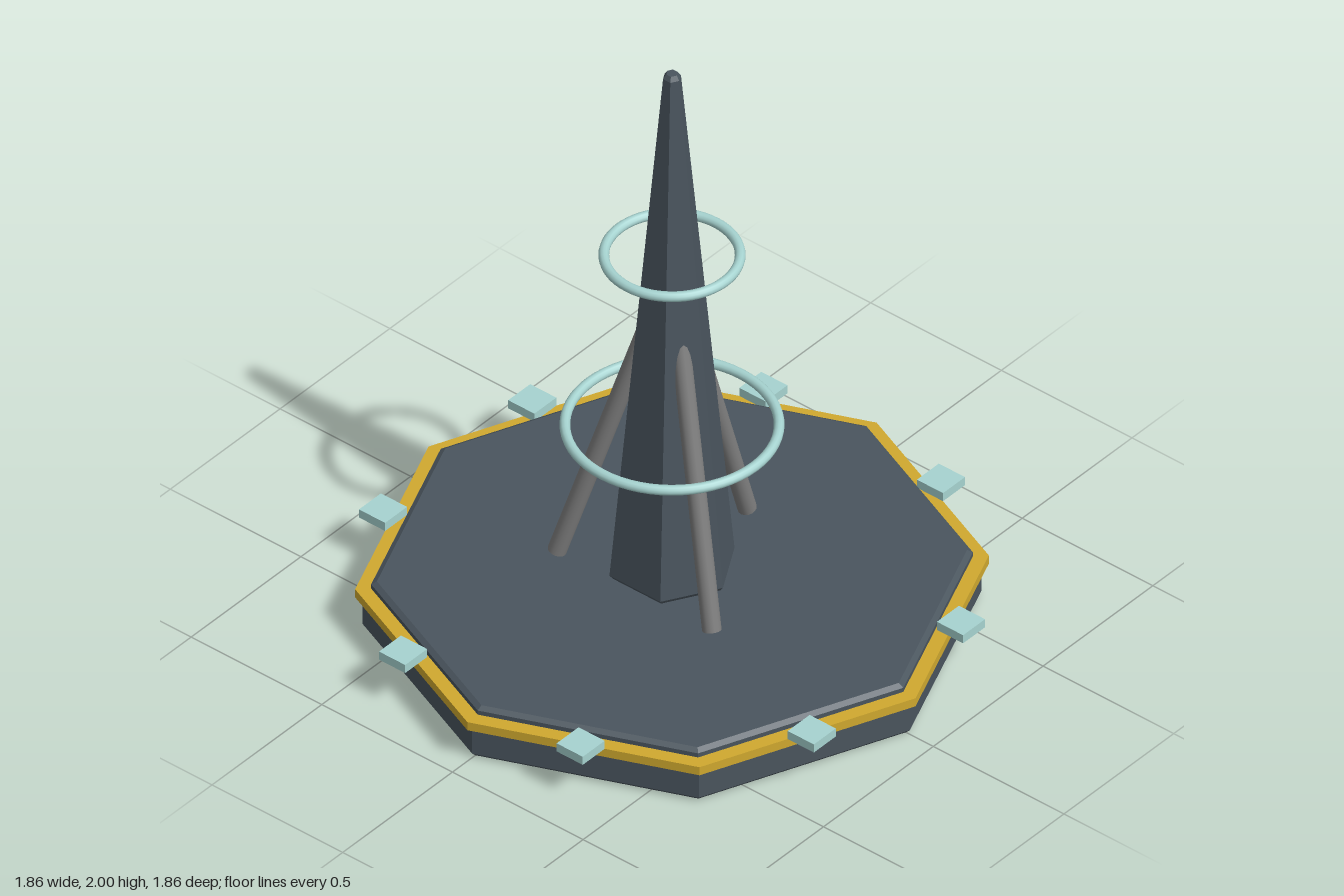
import * as THREE from 'three';

const mat = (name, color) => {
  const m = new THREE.MeshStandardMaterial({ color });
  m.name = name;
  return m;
};

// Faceted solid of revolution; profile runs from bottom to top, first corner on +z
function faceted(profile, sides) {
  const points = profile.map(([r, y]) => new THREE.Vector2(r, y));
  const geometry = new THREE.LatheGeometry(points, sides).toNonIndexed();
  geometry.computeVertexNormals();
  return geometry;
}

export function createModel() {
  const slate = mat('slate', 0x4a555e);
  const gold = mat('gold', 0xd0a92f);
  const aqua = mat('paleAqua', 0xa6d3d0);
  const grey = mat('steelGrey', 0x7d7d7d);

  const model = new THREE.Group();
  model.name = 'spireOnPlatform';
  const add = (name, geometry, material) => {
    const mesh = new THREE.Mesh(geometry, material);
    mesh.name = name;
    model.add(mesh);
    return mesh;
  };

  // Octagonal platform with chamfered edges
  add('platform', faceted([
    [0, 0], [0.895, 0], [0.91, 0.015], [0.91, 0.125],
    [0.885, 0.13], [0.885, 0.16], [0.868, 0.17], [0, 0.17],
  ], 8), slate);

  // Gold band around the platform
  add('platformTrim', faceted([
    [0.87, 0.115], [0.932, 0.115], [0.932, 0.145], [0.87, 0.145], [0.87, 0.115],
  ], 8), gold);

  // Hexagonal tapering spire
  add('spire', faceted([
    [0, 0.165], [0.18, 0.165], [0.195, 0.185],
    [0.028, 1.985], [0.018, 2], [0, 2],
  ], 6), slate);

  // Three round struts leaning into the spire
  const foot = new THREE.Vector3(0.342, 0.182, 0);
  const head = new THREE.Vector3(0.07, 1.055, 0);
  const strutGeometry = new THREE.CylinderGeometry(0.029, 0.029, foot.distanceTo(head), 16);
  for (let i = 0; i < 3; i++) {
    const turn = new THREE.Group();
    turn.name = 'strut' + (i + 1);
    turn.rotation.y = i * Math.PI * 2 / 3;
    const strut = add('strutRod', strutGeometry, grey);
    strut.position.copy(foot).lerp(head, 0.5);
    strut.quaternion.setFromUnitVectors(
      new THREE.Vector3(0, 1, 0), head.clone().sub(foot).normalize());
    turn.add(strut);
    model.add(turn);
  }

  // Floating rings
  for (const [name, radius, y] of [['lowerRing', 0.314, 0.695], ['upperRing', 0.2, 1.325]]) {
    const ring = add(name, new THREE.TorusGeometry(radius, 0.016, 12, 64), aqua);
    ring.rotation.x = Math.PI / 2;
    ring.position.y = y;
  }

  // Square pads over the middle of each platform edge
  const padGeometry = new THREE.BoxGeometry(0.1, 0.03, 0.1);
  for (let i = 0; i < 8; i++) {
    const a = (i + 0.5) * Math.PI / 4;
    add('edgePad' + (i + 1), padGeometry, aqua)
      .position.set(0.888 * Math.cos(a), 0.16, 0.888 * Math.sin(a));
  }

  return model;
}
